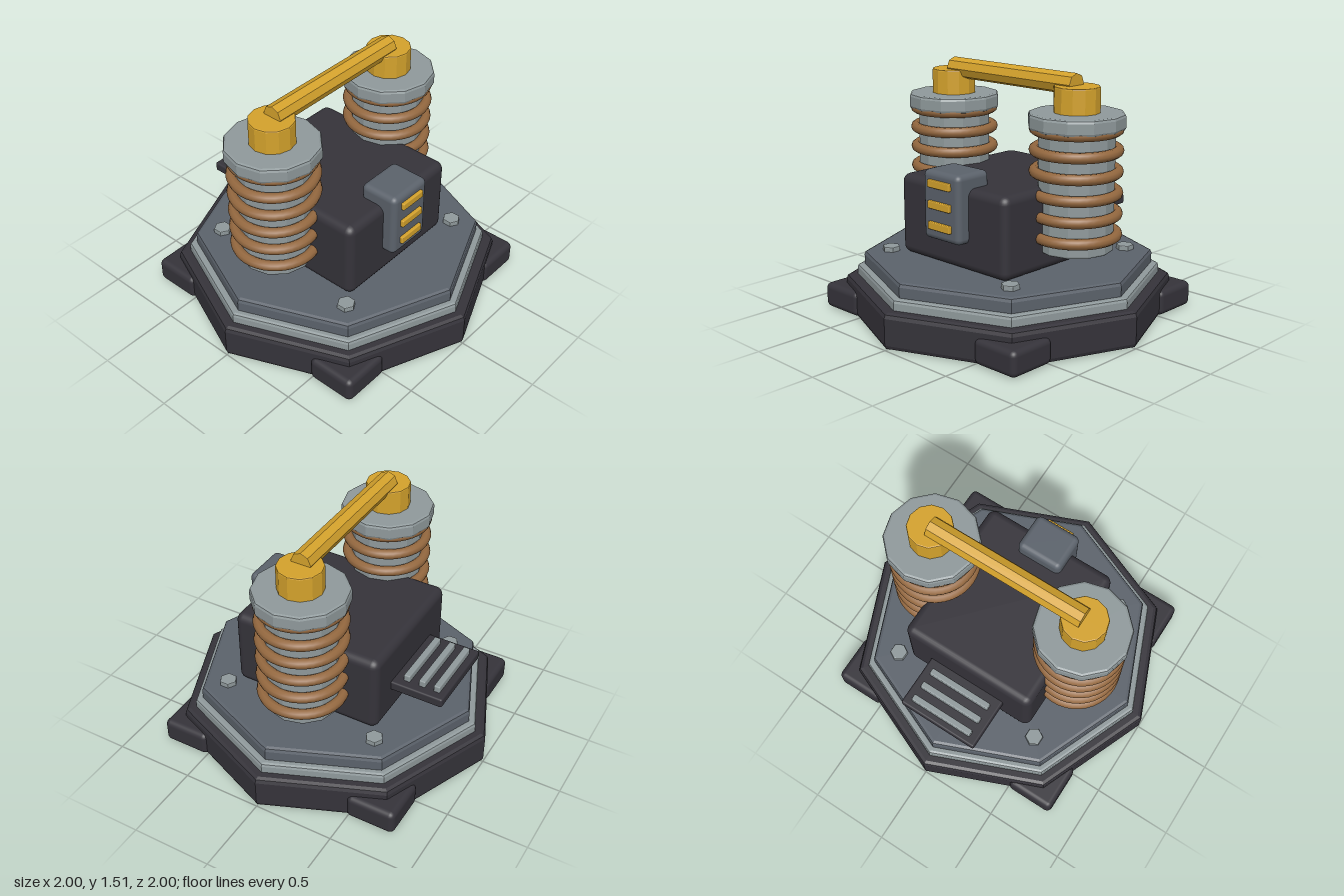
import * as THREE from 'three';
import { RoundedBoxGeometry } from 'three/addons/geometries/RoundedBoxGeometry.js';

const mat = (name, color) => {
  const m = new THREE.MeshStandardMaterial({ color });
  m.name = name;
  return m;
};

export function createModel() {
  const dark = mat('charcoal', 0x35333a);
  const slate = mat('slate', 0x5b626b);
  const steel = mat('light steel', 0x8f999b);
  const copper = mat('copper', 0x94683f);
  const brass = mat('brass', 0xd4a22c);

  const model = new THREE.Group();
  model.name = 'coilGenerator';

  const add = (parent, name, geometry, material, x = 0, y = 0, z = 0) => {
    const mesh = new THREE.Mesh(geometry, material);
    mesh.name = name;
    mesh.position.set(x, y, z);
    parent.add(mesh);
    return mesh;
  };

  // faceted upright prism from y0 to y1 with rounded-off rims
  const prism = (r, y0, y1, sides, bevel) => {
    const b = bevel, k = bevel * 0.3;
    const profile = [
      [0, y0], [r - b, y0], [r - k, y0 + k], [r, y0 + b],
      [r, y1 - b], [r - k, y1 - k], [r - b, y1], [0, y1],
    ].map(([x, y]) => new THREE.Vector2(x, y));
    const g = new THREE.LatheGeometry(profile, sides).toNonIndexed();
    g.computeVertexNormals();
    return g;
  };

  // box given by its extents, with rounded edges
  const box = (parent, name, material, [x0, x1], [y0, y1], [z0, z1], radius) =>
    add(parent, name, new RoundedBoxGeometry(x1 - x0, y1 - y0, z1 - z0, 3, radius), material,
      (x0 + x1) / 2, (y0 + y1) / 2, (z0 + z1) / 2);

  // stepped octagonal base
  add(model, 'base', prism(1, 0, 0.22, 8, 0.03), dark);
  add(model, 'trimRing', prism(0.93, 0.2, 0.283, 8, 0.02), steel);
  add(model, 'deck', prism(0.885, 0.26, 0.37, 8, 0.025), slate);

  // corner feet and deck bolts
  for (const sx of [-1, 1]) {
    for (const sz of [-1, 1]) {
      add(model, 'foot', new RoundedBoxGeometry(0.31, 0.155, 0.31, 3, 0.035), dark,
        sx * 0.655, 0.0825, sz * 0.645);
      add(model, 'bolt', prism(0.055, 0.36, 0.4, 6, 0.006), steel, sx * 0.507, 0, sz * 0.51);
    }
  }

  // main housing
  box(model, 'housing', dark, [-0.44, 0.44], [0.37, 0.865], [-0.482, 0.482], 0.05);

  // control panel with three indicator bars
  const panel = new THREE.Group();
  panel.name = 'controlPanel';
  model.add(panel);
  box(panel, 'panelBody', slate, [-0.15, 0.15], [0.54, 0.953], [0.31, 0.562], 0.035);
  for (const y of [0.63, 0.755, 0.88]) {
    box(panel, 'indicatorBar', brass, [-0.09, 0.09], [y - 0.023, y + 0.023], [0.55, 0.582], 0.006);
  }

  // rear vent shelf with slats
  const vent = new THREE.Group();
  vent.name = 'rearVent';
  model.add(vent);
  box(vent, 'ventPlate', dark, [-0.26, 0.26], [0.555, 0.615], [-0.81, -0.46], 0.012);
  for (const z of [-0.75, -0.655, -0.557]) {
    box(vent, 'ventSlat', steel, [-0.208, 0.208], [0.605, 0.655], [z - 0.02, z + 0.02], 0.008);
  }

  // coil columns
  for (const side of [-1, 1]) {
    const column = new THREE.Group();
    column.name = side > 0 ? 'leftColumn' : 'rightColumn';
    column.position.set(side * 0.507, 0, -0.035);
    model.add(column);
    add(column, 'core', prism(0.226, 0.48, 1.25, 12, 0.012), steel);
    add(column, 'cap', prism(0.284, 1.195, 1.29, 12, 0.018), steel);
    add(column, 'terminal', prism(0.136, 1.28, 1.44, 12, 0.008), brass);
    for (let i = 0; i < 6; i++) {
      const ring = add(column, 'coilRing', new THREE.TorusGeometry(0.242, 0.032, 10, 40), copper,
        0, 0.575 + i * 0.1245, 0);
      ring.rotation.x = Math.PI / 2;
    }
  }

  // bar joining the two terminals
  const bar = add(model, 'crossBar', prism(0.064, -0.503, 0.503, 8, 0.003), brass, 0, 1.447, -0.035);
  bar.rotation.z = Math.PI / 2;

  return model;
}
